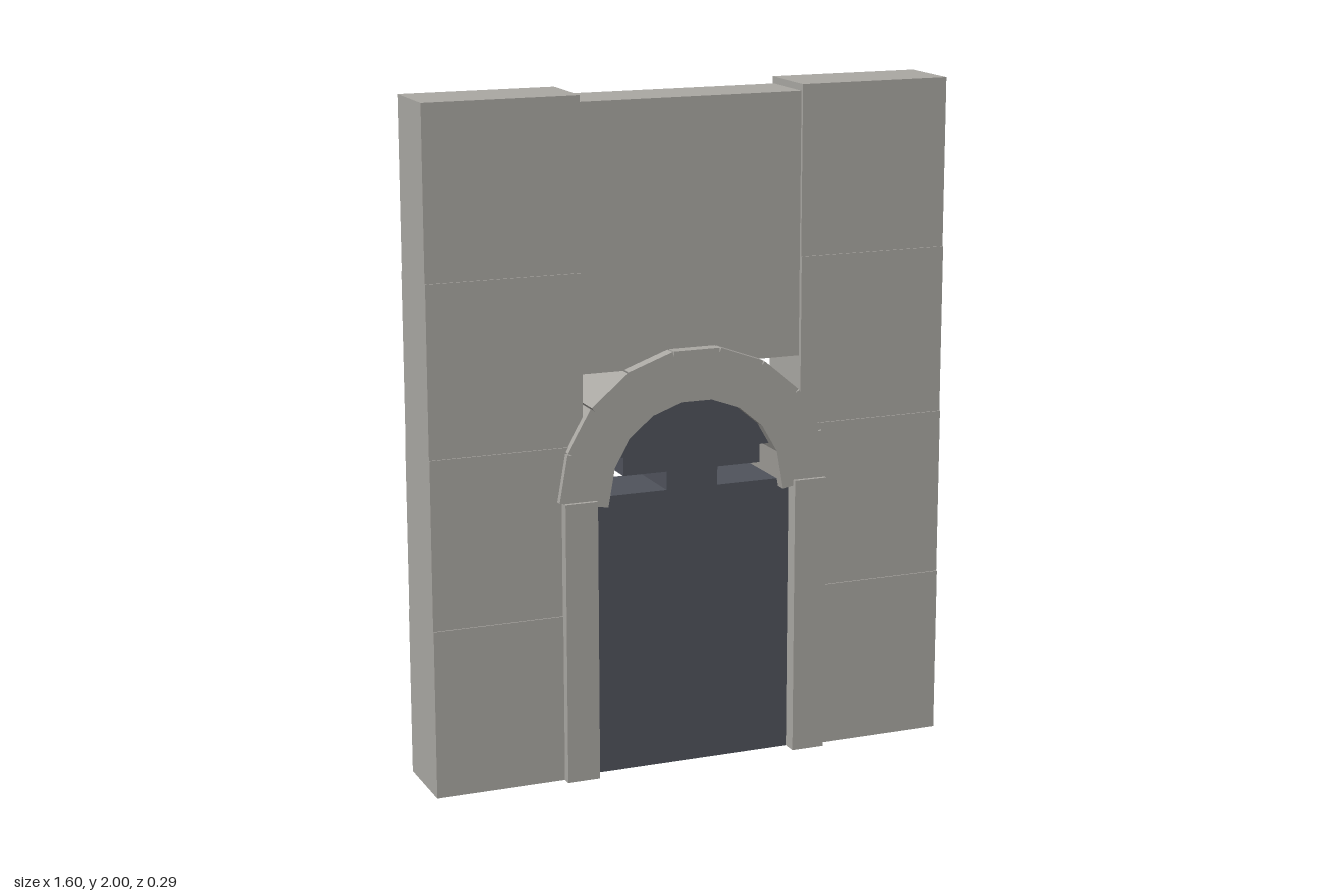
import * as THREE from 'three';

export function createModel() {
  const stone = new THREE.MeshStandardMaterial({ color: 0xaaa8a3 });
  stone.name = 'stone';
  const slate = new THREE.MeshStandardMaterial({ color: 0x50535c });
  slate.name = 'dark slate';

  const model = new THREE.Group();
  model.name = 'archedGateway';

  // Box spanning x0..x1 and y0..y1, reaching halfDepth to front and back
  function block(name, material, x0, x1, y0, y1, halfDepth, parent = model) {
    const mesh = new THREE.Mesh(new THREE.BoxGeometry(x1 - x0, y1 - y0, 2 * halfDepth), material);
    mesh.position.set((x0 + x1) / 2, (y0 + y1) / 2, 0);
    mesh.name = name;
    parent.add(mesh);
    return mesh;
  }

  // Side piers: four courses, each slightly thinner than the one below
  const courseDepths = [0.119, 0.115, 0.111, 0.107];
  for (const side of [-1, 1]) {
    const pier = new THREE.Group();
    pier.name = side > 0 ? 'leftPier' : 'rightPier';
    courseDepths.forEach((d, i) => {
      const [a, b] = side > 0 ? [0.34, 0.8] : [-0.8, -0.34];
      block('pierCourse', stone, a, b, i * 0.5, (i + 1) * 0.5, d, pier);
    });
    model.add(pier);
    // Door jamb standing proud of the pier
    const [a, b] = side > 0 ? [0.31, 0.41] : [-0.41, -0.31];
    block(side > 0 ? 'leftJamb' : 'rightJamb', stone, a, b, 0, 0.84, 0.147);
  }

  // Wall between the piers, above the arch
  block('upperWall', stone, -0.34, 0.34, 1.205, 1.98, 0.097);

  // Arch of nine straight voussoirs around the springing point
  const arch = new THREE.Group();
  arch.name = 'arch';
  arch.position.y = 0.84;
  const inner = 0.266, outer = 0.417, count = 9;
  const voussoir = new THREE.BoxGeometry(outer - inner, 0.142, 0.27);
  for (let i = 0; i < count; i++) {
    const angle = ((i + 0.5) / count) * Math.PI;
    const mesh = new THREE.Mesh(voussoir, stone);
    const r = (inner + outer) / 2;
    mesh.position.set(r * Math.cos(angle), r * Math.sin(angle), 0);
    mesh.rotation.z = angle;
    mesh.name = 'voussoir';
    arch.add(mesh);
  }
  model.add(arch);

  // Dark door and the stepped infill under the arch
  block('door', slate, -0.31, 0.31, 0, 0.84, 0.1);
  const infill = new THREE.Group();
  infill.name = 'archInfill';
  const rows = [
    [0.08, 0.84, 0.895],
    [0.215, 0.895, 0.95],
    [0.29, 0.95, 1.03],
    [0.24, 1.03, 1.09],
    [0.15, 1.09, 1.14],
  ];
  for (const [w, y0, y1] of rows) block('infillRow', slate, -w, w, y0, y1, 0.1, infill);
  model.add(infill);

  return model;
}
